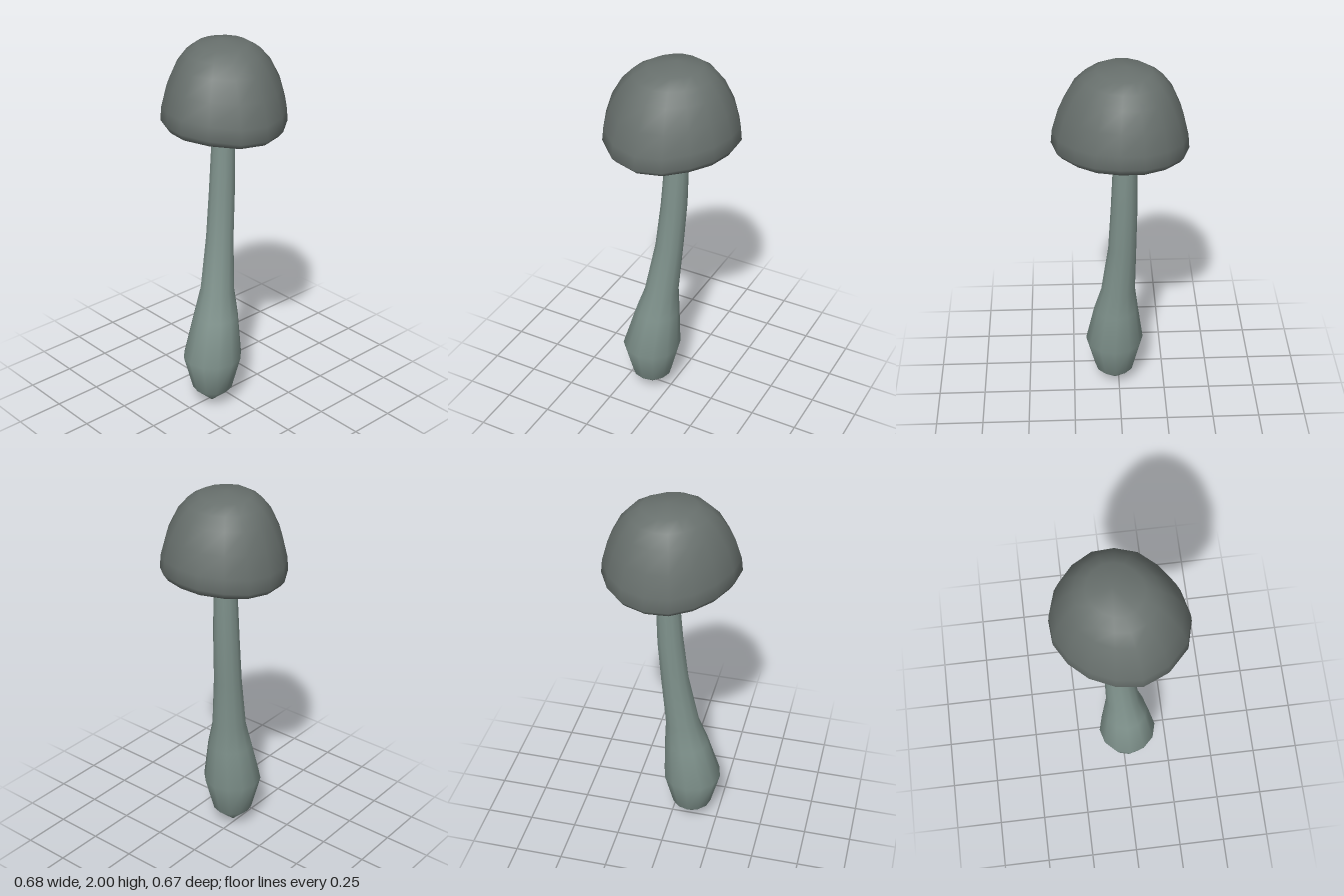
import * as THREE from 'three';
import { mergeVertices } from 'three/addons/utils/BufferGeometryUtils.js';

// Skin a surface over closed rings of points (arrays of [x, y, z])
function loft(rings) {
  const n = rings[0].length;
  const index = [];
  for (let i = 0; i < rings.length - 1; i++) {
    for (let j = 0; j < n; j++) {
      const k = (j + 1) % n;
      const a = i * n + j, b = i * n + k, c = a + n, d = b + n;
      index.push(a, c, b, b, c, d);
    }
  }
  const geometry = new THREE.BufferGeometry();
  geometry.setAttribute('position', new THREE.Float32BufferAttribute(rings.flat(2), 3));
  geometry.setIndex(index);
  const merged = mergeVertices(geometry, 1e-4);
  merged.computeVertexNormals();
  return merged;
}

function part(name, geometry, color) {
  const mesh = new THREE.Mesh(geometry, new THREE.MeshStandardMaterial({ color }));
  mesh.name = name;
  return mesh;
}

// Leaning stem with a bulbous, pointed foot: [y, centre x, centre z, radius]
function stemGeometry() {
  const sections = [
    [0, 0.02, 0.107, 0],
    [0.1, 0.023, 0.105, 0.107],
    [0.29, 0.024, 0.105, 0.156],
    [0.52, 0.016, 0.073, 0.118],
    [0.66, 0.005, 0.053, 0.09],
    [0.95, -0.015, 0.016, 0.073],
    [1.2, -0.023, -0.006, 0.068],
    [1.5, -0.028, -0.021, 0.06],
    [1.75, -0.03, -0.023, 0.053],
  ];
  const sides = 12;
  return loft(sections.map(([y, cx, cz, r]) =>
    Array.from({ length: sides }, (_, j) => {
      const t = (j / sides) * Math.PI * 2;
      return [cx + r * Math.cos(t), y, cz + r * Math.sin(t)];
    })));
}

// Uneven outline of the cap rim, as [x, z]
const rim = [
  [0.337, 0.02], [0.301, 0.16], [0.195, 0.275], [0.065, 0.335],
  [-0.06, 0.32], [-0.18, 0.26], [-0.27, 0.17], [-0.33, 0.06],
  [-0.338, -0.06], [-0.301, -0.18], [-0.22, -0.27], [-0.11, -0.33],
  [0.01, -0.336], [0.13, -0.3], [0.225, -0.22], [0.305, -0.11],
];

// Scale the rim along a profile of [scale, y]
function capSurface(profile) {
  return loft(profile.map(([s, y]) => rim.map(([x, z]) => {
    // The rim dips at the sides and lifts at front and back
    const wave = -0.02 * Math.cos(2 * Math.atan2(z, x)) * s ** 4;
    const lean = 1 - s;
    return [x * s - 0.035 * lean, y + wave, z * s - 0.015 * lean];
  })));
}

export function createModel() {
  const mushroom = new THREE.Group();
  mushroom.name = 'mushroom';

  // Shallow hollow under the cap, then the lip and dome
  const underside = [[0, 1.7], [0.3, 1.695], [0.6, 1.66], [0.83, 1.58]];
  const dome = [
    [0.83, 1.58], [0.93, 1.568], [1, 1.6], [0.98, 1.67], [0.89, 1.78],
    [0.74, 1.88], [0.585, 1.94], [0.4, 1.977], [0, 2],
  ];

  mushroom.add(
    part('stem', stemGeometry(), 0x80938d),
    part('capUnderside', capSurface(underside), 0x4c5653),
    part('cap', capSurface(dome), 0x68706d),
  );
  return mushroom;
}
